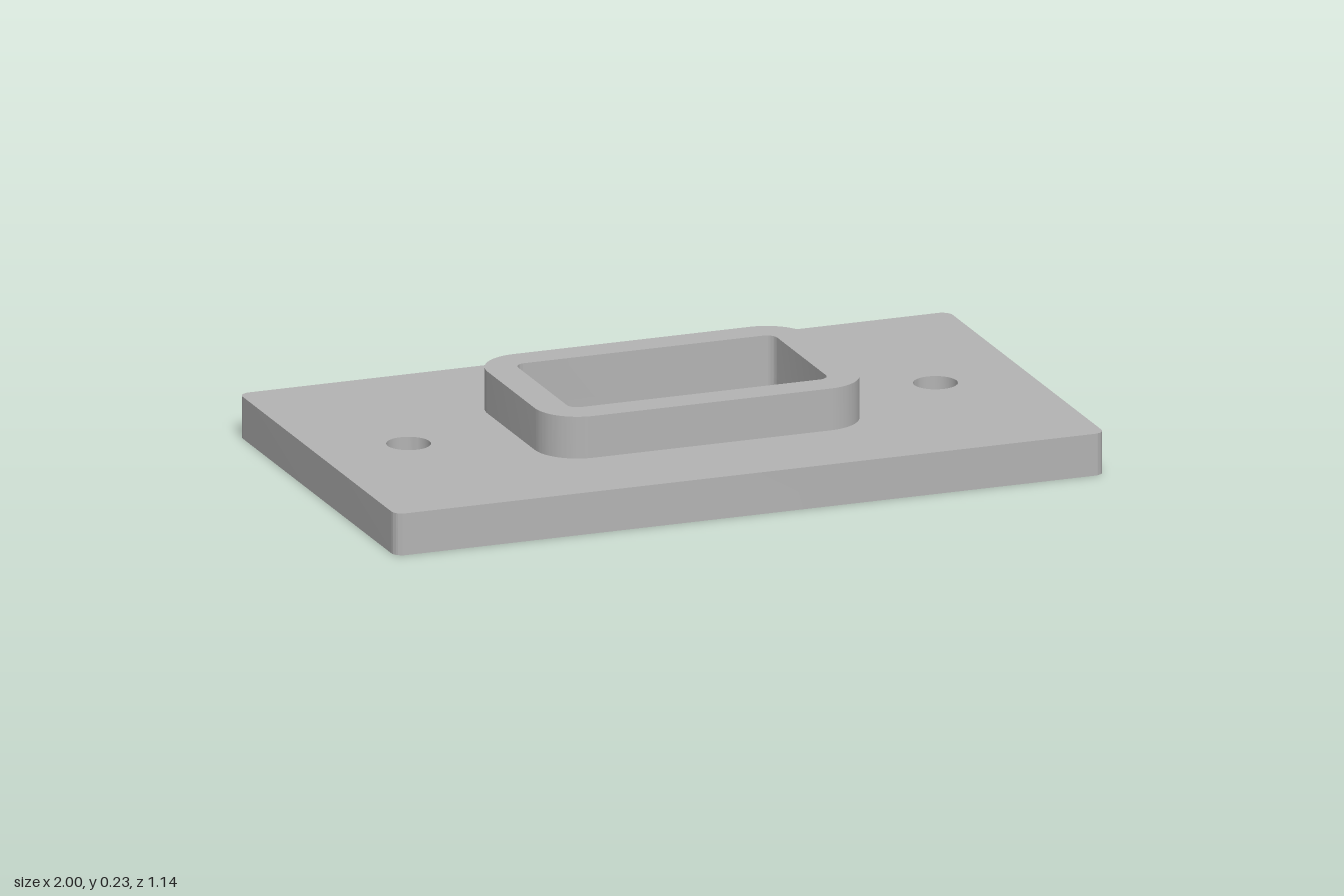
import * as THREE from 'three';
import { toCreasedNormals } from 'three/addons/utils/BufferGeometryUtils.js';

// Trace a rounded rectangle centred on the origin
function roundedRect(path, halfW, halfD, r) {
  path.moveTo(halfW, -halfD + r);
  path.absarc(halfW - r, halfD - r, r, 0, Math.PI / 2);
  path.absarc(-halfW + r, halfD - r, r, Math.PI / 2, Math.PI);
  path.absarc(-halfW + r, -halfD + r, r, Math.PI, Math.PI * 1.5);
  path.absarc(halfW - r, -halfD + r, r, Math.PI * 1.5, Math.PI * 2);
  path.closePath();
  return path;
}

// Extrude a flat outline upwards from a given height
function slab(name, shape, bottom, height, material) {
  const geometry = new THREE.ExtrudeGeometry(shape, { depth: height, bevelEnabled: false, curveSegments: 16 });
  geometry.rotateX(-Math.PI / 2).translate(0, bottom, 0);
  const mesh = new THREE.Mesh(toCreasedNormals(geometry, 0.6), material);
  mesh.name = name;
  return mesh;
}

export function createModel() {
  const group = new THREE.Group();
  group.name = 'mountingPlate';
  const grey = new THREE.MeshStandardMaterial({ color: 0xb4b4b4 });
  grey.name = 'grey';

  const thickness = 0.115;
  const opening = () => roundedRect(new THREE.Path(), 0.365, 0.207, 0.03);

  // Base plate with the central opening and two screw holes
  const plate = roundedRect(new THREE.Shape(), 1, 0.571, 0.03);
  plate.holes.push(opening());
  for (const side of [-1, 1]) {
    plate.holes.push(new THREE.Path().absarc(side * 0.742, 0, 0.059, 0, Math.PI * 2));
  }
  group.add(slab('basePlate', plate, 0, thickness, grey));

  // Raised collar around the opening
  const collar = roundedRect(new THREE.Shape(), 0.453, 0.292, 0.12);
  collar.holes.push(opening());
  group.add(slab('collar', collar, thickness, 0.115, grey));

  return group;
}
